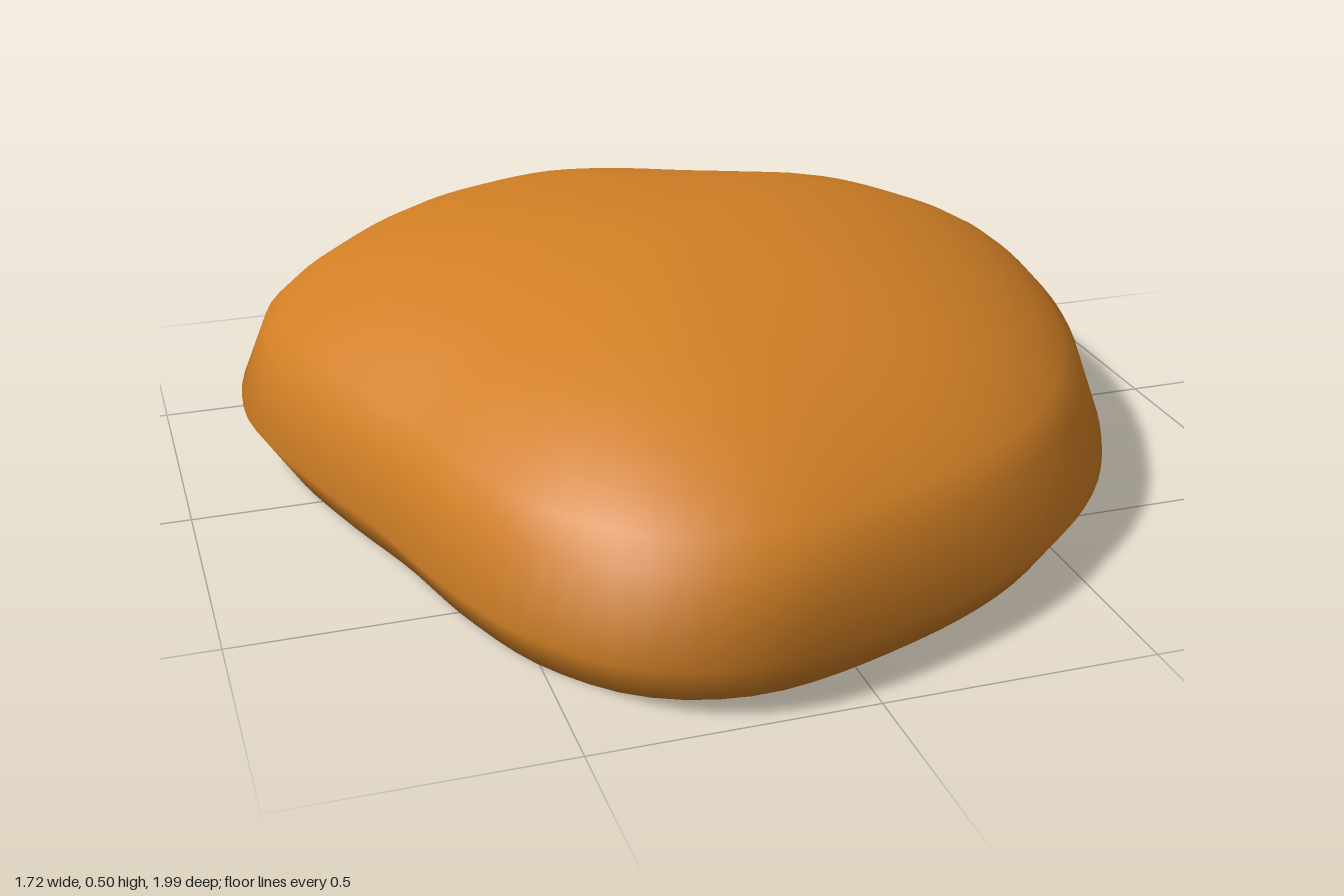
import * as THREE from 'three';

// Footprint at the widest level, as x, z pairs running from the back towards +x
const OUTLINE = [
  [-0.18, -1.0], [0.01, -0.96], [0.24, -0.86], [0.44, -0.78], [0.65, -0.68], [0.785, -0.5],
  [0.855, -0.32], [0.855, -0.13], [0.81, 0.11], [0.73, 0.34], [0.595, 0.58], [0.4, 0.77],
  [0.135, 0.91], [-0.19, 0.995], [-0.39, 0.94], [-0.535, 0.79], [-0.63, 0.58], [-0.7, 0.34],
  [-0.775, 0.13], [-0.845, -0.11], [-0.862, -0.26], [-0.82, -0.5], [-0.685, -0.71], [-0.475, -0.9],
];
const SEGMENTS = 96;
const RIM = 0.1;
const DOME = 0.4;

// Stack scaled copies of the outline, closed by a flat base and an apex
function pebbleGeometry() {
  const curve = new THREE.CatmullRomCurve3(
    OUTLINE.map(([x, z]) => new THREE.Vector3(x, 0, z)), true, 'centripetal');
  const outline = curve.getSpacedPoints(SEGMENTS).slice(0, SEGMENTS);

  // [scale, height]: undercut base, rim, then an elliptical dome
  const rings = [[0.92, 0], [1, RIM]];
  for (let deg = 20; deg < 90; deg += 7) {
    const a = THREE.MathUtils.degToRad(deg);
    rings.push([Math.cos(a), RIM + DOME * Math.sin(a)]);
  }

  const positions = [];
  for (const [s, y] of rings) for (const p of outline) positions.push(p.x * s, y, p.z * s);
  const base = rings.length * SEGMENTS;
  const apex = base + 1;
  positions.push(0, 0, 0, 0, RIM + DOME, 0);

  const index = [];
  const last = (rings.length - 1) * SEGMENTS;
  for (let i = 0; i < SEGMENTS; i++) {
    const n = (i + 1) % SEGMENTS;
    for (let row = 0; row < last; row += SEGMENTS) {
      const up = row + SEGMENTS;
      index.push(row + i, up + i, row + n, up + i, up + n, row + n);
    }
    index.push(base, i, n);
    index.push(apex, last + n, last + i);
  }

  const geometry = new THREE.BufferGeometry();
  geometry.setAttribute('position', new THREE.Float32BufferAttribute(positions, 3));
  geometry.setIndex(index);
  geometry.computeVertexNormals();
  return geometry;
}

export function createModel() {
  const orange = new THREE.MeshStandardMaterial({ color: 0xd17f25 });
  orange.name = 'orange';
  const pebble = new THREE.Mesh(pebbleGeometry(), orange);
  pebble.name = 'pebble';
  const group = new THREE.Group();
  group.name = 'smoothPebble';
  group.add(pebble);
  return group;
}
